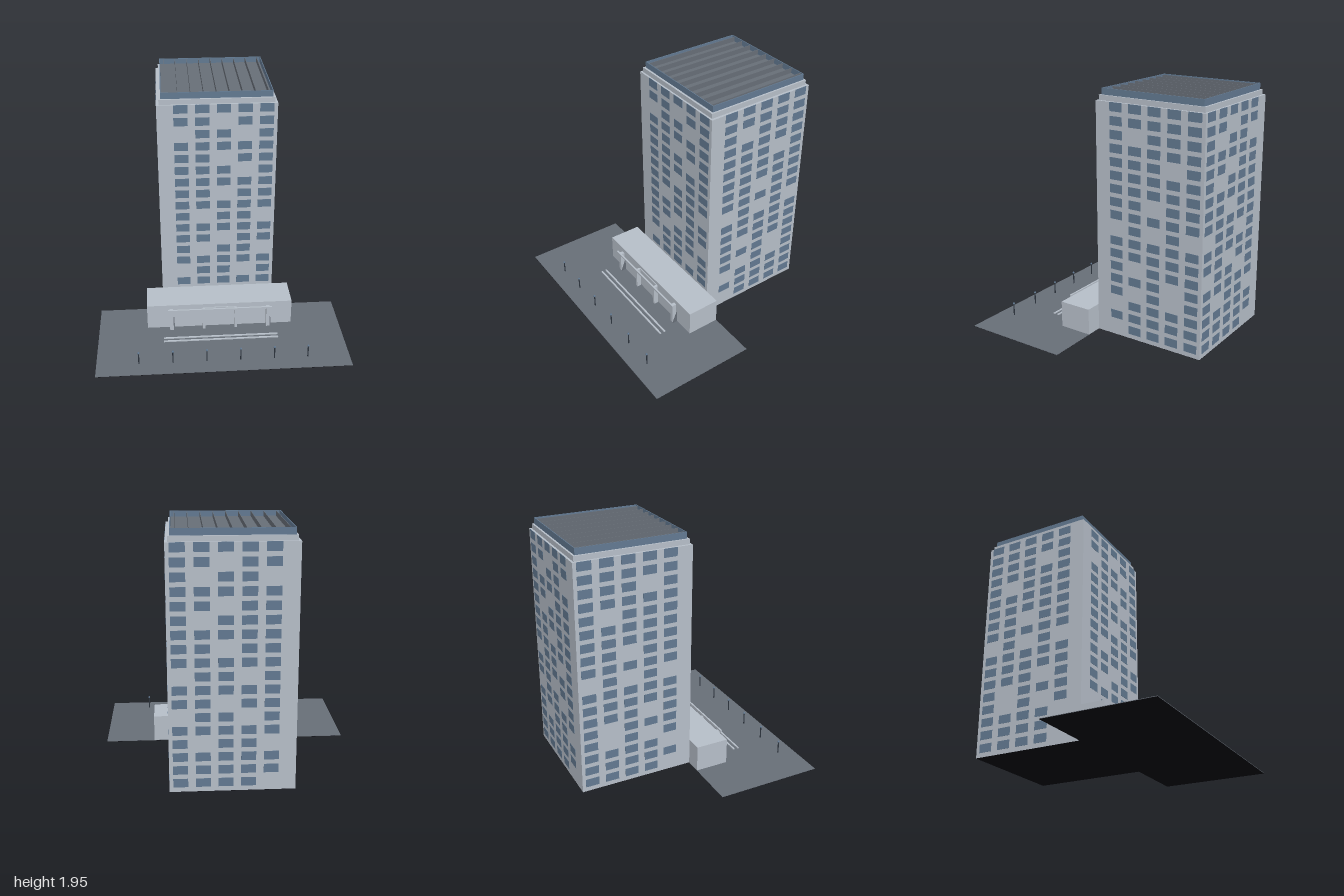
import * as THREE from 'three';

const mat = (name, color) => Object.assign(new THREE.MeshStandardMaterial({ color }), { name });

export function createModel() {
  const concrete = mat('concrete', 0xb6bec8);
  const glass = mat('blue glass', 0x627991);
  const paving = mat('dark paving', 0x676e77);
  const metal = mat('dark metal', 0x2e3640);
  const black = mat('black underside', 0x06060f);
  const model = new THREE.Group();
  model.name = 'towerBlock';

  const add = (parent, name, geometry, material, x, y, z) => {
    const mesh = new THREE.Mesh(geometry, material);
    mesh.name = name;
    mesh.position.set(x, y, z);
    parent.add(mesh);
    return mesh;
  };
  // Box given by its lower and upper corners
  const box = (name, material, x0, x1, y0, y1, z0, z1, parent = model) =>
    add(parent, name, new THREE.BoxGeometry(x1 - x0, y1 - y0, z1 - z0), material,
      (x0 + x1) / 2, (y0 + y1) / 2, (z0 + z1) / 2);

  // Main masses, with black undersides
  box('plaza', paving, -1, 1, 0.001, 0.005, 0.033, 0.9);
  box('plazaUnderside', black, -1, 1, 0, 0.001, 0.033, 0.9);
  box('podium', concrete, -0.6, 0.6, 0.005, 0.22, 0.033, 0.305);
  box('tower', concrete, -0.467, 0.467, 0.004, 1.863, -0.897, 0.033);
  box('towerUnderside', black, -0.467, 0.467, 0.003, 0.004, -0.897, 0.033);
  box('cornice', concrete, -0.447, 0.447, 1.863, 1.903, -0.88, 0.018);

  // Roof with a blue parapet and thin ribs
  const roof = new THREE.Group();
  roof.name = 'roof';
  model.add(roof);
  box('roofDeck', paving, -0.427, 0.427, 1.9, 1.908, -0.86, -0.005, roof);
  for (const s of [-1, 1]) {
    box('sideParapet', glass, s * 0.43 - 0.003, s * 0.43 + 0.003, 1.903, 1.953, -0.865, 0, roof);
    const z = -0.432 + s * 0.43;
    box('endParapet', glass, -0.433, 0.433, 1.903, 1.953, z - 0.003, z + 0.003, roof);
  }
  for (let i = -4; i <= 4; i++)
    box('roofRib', paving, i * 0.1 - 0.002, i * 0.1 + 0.002, 1.905, 1.948, -0.86, -0.005, roof);

  // Windows: one row per storey from the top, 1 marks a window
  const endRows = ['11111', '11011', '01101', '11111', '11011', '11101', '11111', '11011', '11111',
    '10110', '11111', '11011', '10110', '11111', '01101', '11111', '11111', '01111'];
  const sideRows = ['11111', '11111', '10111', '11111', '11101', '11111', '11111', '11011', '11111',
    '01010', '11111', '11111', '10111', '11101', '10101', '01111', '11111', '01111'];
  const pane = new THREE.BoxGeometry(0.11, 0.068, 0.003);
  const facade = (name, rows, place) => {
    const group = new THREE.Group();
    group.name = name;
    model.add(group);
    rows.forEach((row, r) => [...row].forEach((cell, c) => {
      if (cell === '0') return;
      const y = 1.829 - r * 0.1032;
      const [x, z, turn] = place(c);
      if (z > 0 && y < 0.25) return; // storeys behind the podium
      add(group, 'window', pane, glass, x, y, z).rotation.y = turn;
    }));
  };
  const colX = (c) => -0.283 + c * 0.1667;
  const colZ = (c) => -0.147 - c * 0.1667;
  facade('frontWindows', endRows, (c) => [colX(c), 0.033, 0]);
  facade('backWindows', endRows, (c) => [colX(c), -0.897, Math.PI]);
  facade('leftWindows', sideRows, (c) => [0.467, colZ(c), Math.PI / 2]);
  facade('rightWindows', sideRows, (c) => [-0.467, colZ(c), -Math.PI / 2]);

  // Entrance portico, with a dark brace beside each outer column
  const portico = new THREE.Group();
  portico.name = 'portico';
  model.add(portico);
  for (const x of [-0.4, -0.133, 0.133, 0.4]) {
    const half = Math.abs(x) > 0.2 ? 0.015 : 0.011;
    box('column', concrete, x - half, x + half, 0.005, 0.188, 0.31, 0.348, portico);
  }
  box('lintel', concrete, -0.43, 0.43, 0.186, 0.203, 0.344, 0.358, portico);
  box('rearLintel', concrete, -0.133, 0.133, 0.18, 0.19, 0.305, 0.313, portico);
  const wedge = new THREE.Shape([[0, 0], [0.04, 0], [0, 0.1]].map(([x, y]) => new THREE.Vector2(x, y)));
  const brace = new THREE.ExtrudeGeometry(wedge, { depth: 0.009, bevelEnabled: false })
    .rotateY(-Math.PI / 2);
  for (const x of [-0.376, 0.424])
    add(portico, 'brace', brace, paving, x, 0.005, 0.306);

  // Low kerbs in front of the entrance
  for (const z of [0.462, 0.503])
    box('kerb', concrete, -0.467, 0.467, 0.005, 0.013, z - 0.007, z + 0.007);

  // Row of lamp posts
  const post = new THREE.CylinderGeometry(0.005, 0.005, 0.105, 8);
  const globe = new THREE.SphereGeometry(0.009, 12, 8);
  for (let i = 0; i < 6; i++) {
    const lamp = new THREE.Group();
    lamp.name = 'lampPost';
    lamp.position.set(-0.667 + i * 0.2667, 0, 0.768);
    add(lamp, 'post', post, metal, 0, 0.055, 0);
    add(lamp, 'globe', globe, glass, 0, 0.109, 0);
    model.add(lamp);
  }
  return model;
}
